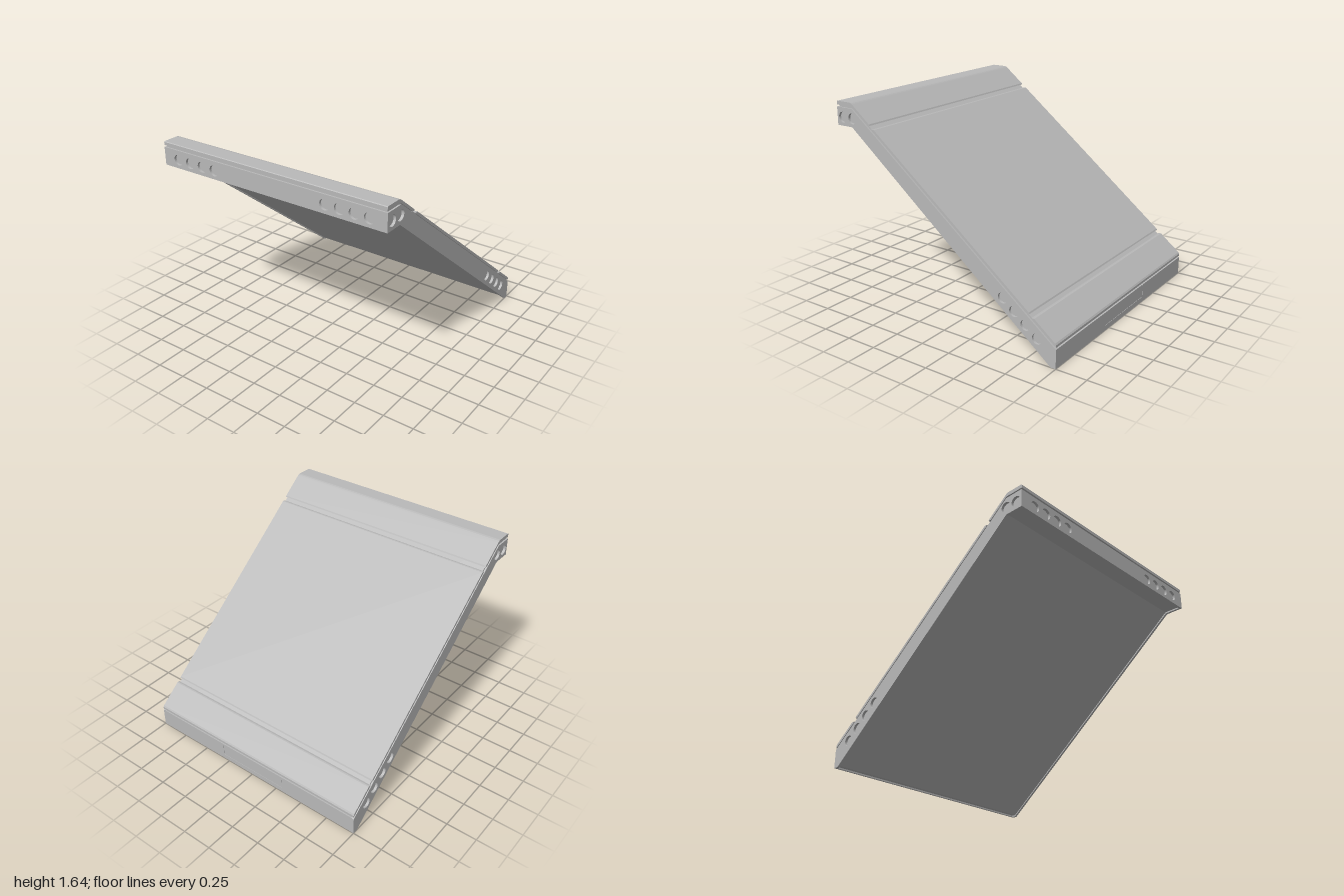
import * as THREE from 'three';

const SLOPE = 0.785;
const R = 0.042;
// point at x on the sloping line that passes through (0, c)
const onSlope = (c, x) => [x, c - SLOPE * x];
// x at which that line reaches height y
const xAt = (c, y) => (c - y) / SLOPE;

function polygon(points, holes = []) {
  const shape = new THREE.Shape(points.map(([x, y]) => new THREE.Vector2(x, y)));
  for (const [x, y] of holes) {
    const path = new THREE.Path();
    path.absarc(x, y, R, 0, Math.PI * 2, true);
    shape.holes.push(path);
  }
  return shape;
}

function slab(shape, from, to) {
  const g = new THREE.ExtrudeGeometry(shape, { depth: to - from, bevelEnabled: false, curveSegments: 16 });
  return g.translate(0, 0, from);
}

// slab across the x axis: the shape lies in (z, y)
function crossSlab(shape, x0, x1) {
  return slab(shape, -x1, -x0).rotateY(-Math.PI / 2);
}

const rect = (w, y0, y1) => [[-w, y0], [w, y0], [w, y1], [-w, y1]];

export function createModel() {
  const model = new THREE.Group();
  const grey = new THREE.MeshStandardMaterial({ color: 0xb9b9b9 });
  grey.name = 'plain grey';
  const add = (name, geometry) => {
    const mesh = new THREE.Mesh(geometry, grey);
    mesh.name = name;
    model.add(mesh);
  };

  // solid core, its underside slightly recessed inside the rim of the walls
  const bodyTop = 0.935;
  add('core', slab(polygon([
    [-0.98, 1.469], [-0.847, 1.469], [0.955, 0.012], [0.985, 0.012],
    onSlope(bodyTop, 0.985), [xAt(bodyTop, 1.6), 1.6], [-0.98, 1.6],
  ]), -0.98, 0.98));

  // side walls with blind round sockets
  const outline = [
    [-1, 1.457], [-0.85, 1.457], [0.957, 0], [1, 0],
    onSlope(bodyTop, 1), [xAt(bodyTop, 1.6), 1.6], [-1, 1.6],
  ];
  const sockets = [
    [-0.942, 1.524], [-0.843, 1.524],
    [0.55, 0.419], [0.648, 0.341], [0.745, 0.263], [0.843, 0.185],
  ];
  add('sideWallLeft', slab(polygon(outline, sockets), 0.98, 1));
  add('sideWallRight', slab(polygon(outline, sockets), -1, -0.98));

  // high end wall with two groups of four sockets
  const endSockets = [];
  for (const z of [0.5, 0.62, 0.74, 0.86]) endSockets.push([z, 1.524], [-z, 1.524]);
  add('highEndWall', crossSlab(polygon(rect(0.98, 1.457, 1.6), endSockets), -1, -0.98));

  // low end wall with a fitted cover plate
  const lowWall = polygon(rect(0.98, 0, 0.15));
  lowWall.holes.push(new THREE.Path(
    rect(0.306, 0.04, 0.148).reverse().map(([z, y]) => new THREE.Vector2(z, y))));
  add('lowEndWall', crossSlab(lowWall, 0.985, 1));
  add('coverPlate', crossSlab(polygon(rect(0.304, 0.042, 0.147)), 0.985, 0.999));

  // inset seam layer between the body and the panels
  const seamTop = bodyTop + 0.014;
  add('seamLayer', slab(polygon([
    [-0.987, 1.595], [xAt(bodyTop, 1.595), 1.595], onSlope(bodyTop - 0.004, 0.987),
    onSlope(seamTop, 0.987), [xAt(seamTop, 1.615), 1.615], [-0.987, 1.615],
  ]), -0.987, 0.987));

  // cover panels, with small bevels where they meet the grooves
  const low = seamTop, high = 0.974;
  const startEdge = (x) => [
    onSlope(high, x + 0.01), onSlope(high - 0.006, x), onSlope(low + 0.006, x - 0.014), onSlope(low, x - 0.008),
  ];
  const endEdge = (x) => [
    onSlope(low, x - 0.022), onSlope(low + 0.006, x - 0.014), onSlope(high - 0.006, x), onSlope(high, x - 0.006),
  ];
  const panel = (name, points) => add(name, slab(polygon(points), -0.998, 0.998));
  const bend = xAt(high, 1.645);
  panel('topPanel', [
    [-0.995, 1.645], [-1, 1.64], [-1, 1.615], [xAt(low, 1.615), 1.615],
    ...endEdge(-0.668), onSlope(high, bend + 0.014), [bend + 0.002, 1.6415], [bend - 0.014, 1.645],
  ]);
  panel('mainPanel', [...startEdge(-0.637), ...endEdge(0.778)]);
  panel('lowPanel', [...startEdge(0.808), onSlope(low, 1), onSlope(high - 0.006, 1), onSlope(high, 0.992)]);

  return model;
}
